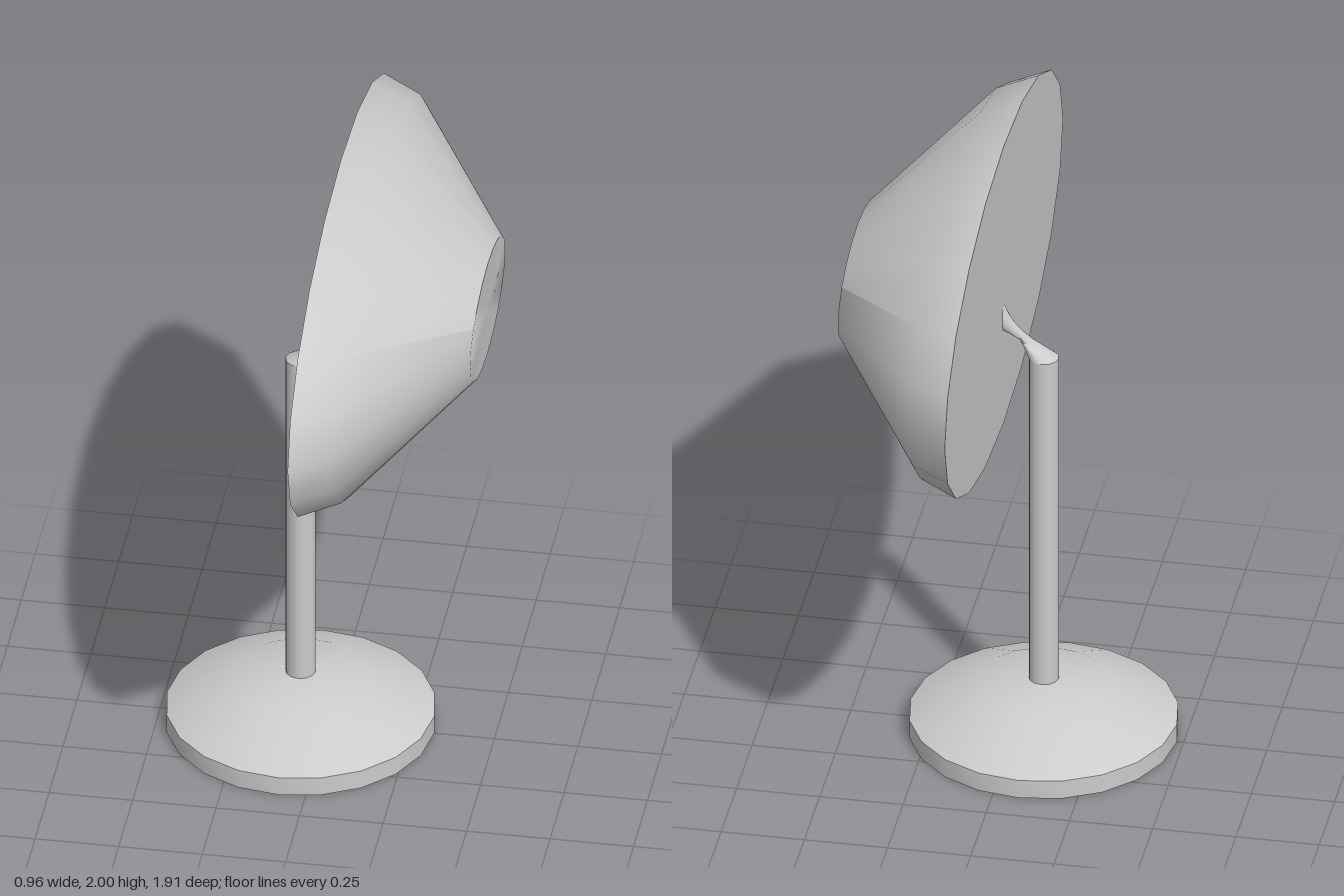
import * as THREE from 'three';
import { toCreasedNormals } from 'three/addons/utils/BufferGeometryUtils.js';

const POLE_X = -0.08, POLE_R = 0.045, POLE_TOP = 1.285, SIDES = 12;
const CREASE = 0.7;

function turned(profile) {
  return new THREE.LatheGeometry(profile.map(([r, y]) => new THREE.Vector2(r, y)), 20);
}

// Twisted neck: straight lines from the pole rim to a turned oval on the head
function neckGeometry() {
  const rows = 6, twist = THREE.MathUtils.degToRad(155);
  const positions = [], index = [];
  const from = new THREE.Vector3(), to = new THREE.Vector3();
  for (let j = 0; j <= rows; j++) {
    for (let i = 0; i <= SIDES; i++) {
      const a = (i / SIDES) * Math.PI * 2, b = a + twist;
      from.set(POLE_X + POLE_R * Math.cos(a), POLE_TOP, POLE_R * Math.sin(a));
      to.set(0.045, 1.415 - 0.047 * Math.cos(b), 0.027 * Math.sin(b));
      positions.push(...from.lerp(to, j / rows).toArray());
      if (j < rows && i < SIDES) {
        const p = j * (SIDES + 1) + i, q = p + SIDES + 1;
        index.push(p, q, p + 1, p + 1, q, q + 1);
      }
    }
  }
  const g = new THREE.BufferGeometry();
  g.setAttribute('position', new THREE.Float32BufferAttribute(positions, 3));
  g.setIndex(index);
  g.computeVertexNormals();
  return g;
}

export function createModel() {
  const group = new THREE.Group();
  const grey = new THREE.MeshStandardMaterial({ color: 0xcccccc, side: THREE.DoubleSide });
  grey.name = 'light grey';

  function add(name, geometry) {
    const mesh = new THREE.Mesh(geometry, grey);
    mesh.name = name;
    group.add(mesh);
    return mesh;
  }

  // Round foot with a sloped top
  const base = turned([[0, 0], [0.4, 0], [0.4, 0.06], [0.2, 0.16], [0.04, 0.18], [0, 0.18]]);
  add('base', toCreasedNormals(base, CREASE)).position.x = POLE_X;

  // Upright pole
  const pole = new THREE.CylinderGeometry(POLE_R, POLE_R, POLE_TOP - 0.16, SIDES);
  add('pole', pole).position.set(POLE_X, (POLE_TOP + 0.16) / 2, 0);

  add('neck', neckGeometry());

  // Oval tapered head facing sideways, closed on both ends
  const head = turned([[0, 0.04], [0.955, 0.04], [0.88, 0.16], [0.315, 0.48], [0, 0.48]]);
  head.scale(0.5, 1, 1);
  head.rotateZ(-Math.PI / 2);
  add('head', toCreasedNormals(head, CREASE)).position.y = 1.523;

  return group;
}
